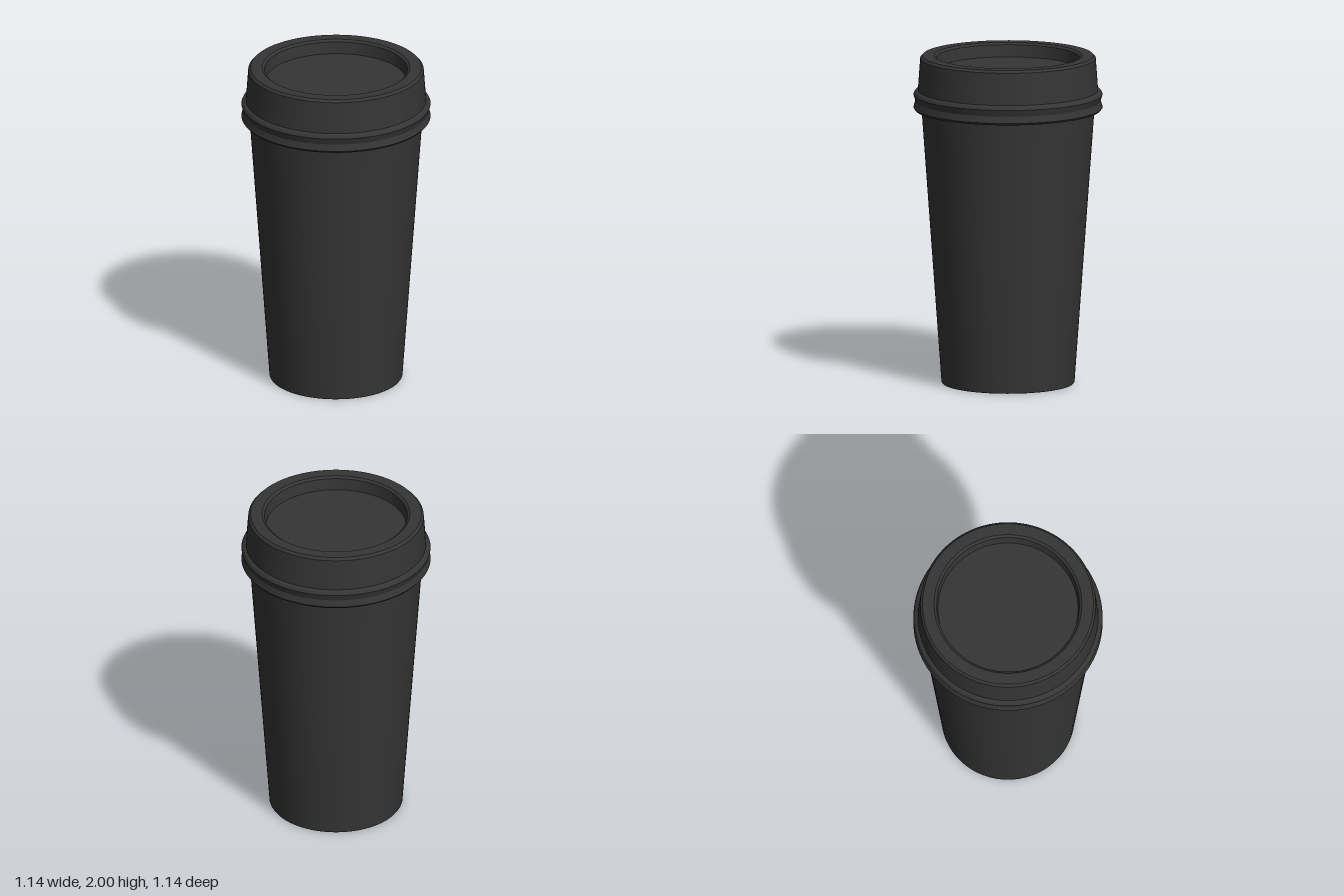
import * as THREE from 'three';
import { mergeGeometries } from 'three/addons/utils/BufferGeometryUtils.js';

const SEGMENTS = 96;

// Smooth around the axis, sharp at every profile corner.
// Profile runs from the underside, up the outside, to the top centre.
function creasedLathe(profile) {
  const bands = [];
  for (let i = 0; i < profile.length - 1; i++) {
    const pair = [profile[i], profile[i + 1]].map(([r, y]) => new THREE.Vector2(r, y));
    bands.push(new THREE.LatheGeometry(pair, SEGMENTS));
  }
  return mergeGeometries(bands);
}

export function createModel() {
  const group = new THREE.Group();
  group.name = 'lidded travel cup';

  const charcoal = new THREE.MeshStandardMaterial({ color: 0x353535 });
  charcoal.name = 'charcoal';

  const addPart = (name, profile) => {
    const mesh = new THREE.Mesh(creasedLathe(profile), charcoal);
    mesh.name = name;
    group.add(mesh);
  };

  // Tapered cup with a recessed base and a thin foot ring
  addPart('cup', [
    [0, 0.085],
    [0.388, 0.085],
    [0.385, 0.005],
    [0.39, 0],
    [0.397, 0],
    [0.401, 0.006],
    [0.523, 1.7],
  ]);

  // Lid: double-ridged grip, sloping wall, chamfered rim and sunken centre
  addPart('lid', [
    [0.515, 1.672],
    [0.56, 1.672],
    [0.57, 1.685],
    [0.558, 1.725],
    [0.57, 1.765],
    [0.56, 1.782],
    [0.543, 1.79],
    [0.529, 1.985],
    [0.515, 2],
    [0.445, 2],
    [0.43, 1.988],
    [0.422, 1.915],
    [0, 1.915],
  ]);

  return group;
}
